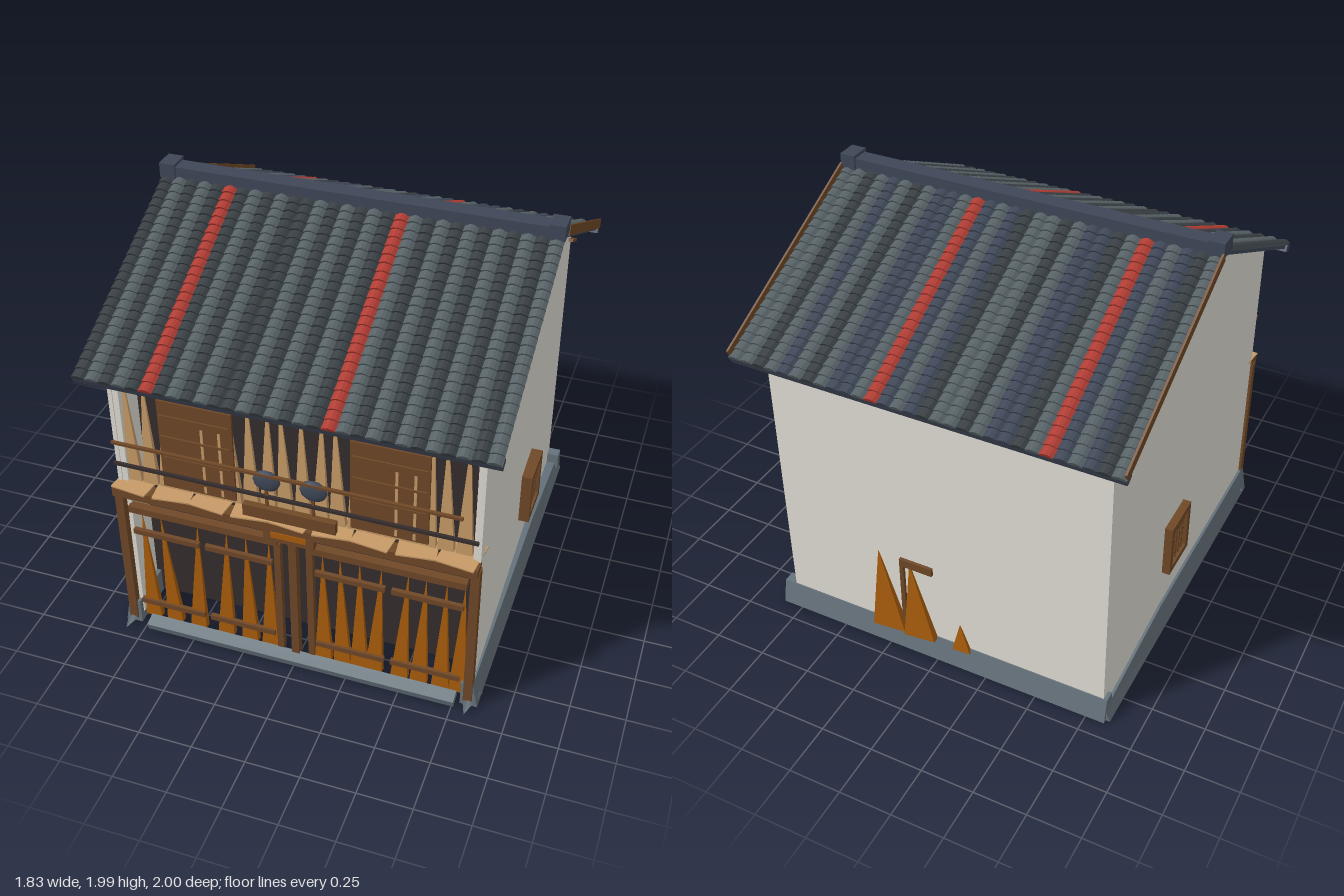
import * as THREE from 'three';
import { mergeGeometries } from 'three/addons/utils/BufferGeometryUtils.js';

const mat = (name, color) => {
  const m = new THREE.MeshStandardMaterial({ color });
  m.name = name;
  return m;
};

export function createModel() {
  const M = {
    plaster: mat('plaster', 0xe0ddd4), wood: mat('wood', 0x6f4827),
    amber: mat('amber wood', 0xa85c0c), tan: mat('pale wood', 0xc79a68),
    dark: mat('dark interior', 0x352c2c), stone: mat('plinth stone', 0x65727b),
    ridge: mat('blue slate', 0x3f4757), slate: mat('dark slate', 0x383f43),
    grey: mat('grey slate', 0x576266), red: mat('red', 0xb03c33),
  };
  M.stone.side = THREE.DoubleSide;
  const root = new THREE.Group();
  root.name = 'townHouse';

  const add = (name, geo, m, parent = root) => {
    const mesh = new THREE.Mesh(geo, m);
    mesh.name = name;
    parent.add(mesh);
    return mesh;
  };
  const group = (name, parent = root) => {
    const g = new THREE.Group();
    g.name = name;
    parent.add(g);
    return g;
  };
  // Box given by its minimum and maximum corners
  const box = (name, m, x0, x1, y0, y1, z0, z1, parent) => {
    const b = add(name, new THREE.BoxGeometry(x1 - x0, y1 - y0, z1 - z0), m, parent);
    b.position.set((x0 + x1) / 2, (y0 + y1) / 2, (z0 + z1) / 2);
    return b;
  };
  // Tapered picket: a slim flat-sided pyramid leaning from its foot to its tip
  const spike = (name, m, foot, tip, y0, y1, z, w, parent) => {
    const geo = new THREE.ConeGeometry(w * 0.707, y1 - y0, 4).rotateY(Math.PI / 4).toNonIndexed();
    geo.scale(1, 1, 0.4);
    geo.computeVertexNormals();
    const s = add(name, geo, m, parent);
    s.position.set((foot + tip) / 2, (y0 + y1) / 2, z);
    s.rotation.z = -Math.atan2(tip - foot, y1 - y0);
  };

  // Side walls with gables, drawn in (z, y) and turned to face sideways
  const outline = [[0.87, 0.03], [0.87, 1.5], [0, 1.92], [-0.89, 1.48], [-0.89, 0.03]];
  const gable = new THREE.Shape(outline.map(([z, y]) => new THREE.Vector2(-z, y)));
  const wall = new THREE.ExtrudeGeometry(gable, { depth: 0.02, bevelEnabled: false });
  wall.rotateY(Math.PI / 2);
  add('rightWall', wall, M.plaster).position.x = -0.822;
  // The left wall draws in slightly towards the back
  const leftWall = add('leftWall', wall, M.plaster);
  leftWall.position.x = 0.79;
  leftWall.rotation.y = 0.021;
  box('backWall', M.plaster, -0.82, 0.79, 0.03, 1.5, -0.89, -0.87);
  box('cornerReturn', M.plaster, -0.81, -0.775, 0.05, 1.45, 0.83, 0.865);
  box('cornerReturn', M.plaster, 0.795, 0.81, 0.05, 1.45, 0.83, 0.865);
  box('innerFront', M.dark, -0.81, 0.8, 0.03, 1.6, 0.64, 0.66);
  // Floor with an opening near the back
  box('floor', M.dark, -0.81, 0.8, 0.015, 0.03, -0.56, 0.66);
  box('floorBack', M.dark, 0.28, 0.79, 0.015, 0.03, -0.88, -0.56);

  // Flared plinth: sides drop towards the back
  const plinth = group('plinth');
  const flare = (z0, z1, h0, h1) => {
    const p = [];
    for (const [z, h] of [[z0, h0], [z1, h1]]) p.push([0.78, 0, z], [0.86, 0, z], [0.835, h, z], [0.78, h, z]);
    const geo = new THREE.BufferGeometry();
    geo.setAttribute('position', new THREE.Float32BufferAttribute(p.flat(), 3));
    const idx = [0, 3, 2, 0, 2, 1, 4, 5, 6, 4, 6, 7];
    for (let i = 0; i < 4; i++) {
      const j = (i + 1) % 4;
      idx.push(i, j, 4 + j, i, 4 + j, 4 + i);
    }
    geo.setIndex(idx);
    const flat = geo.toNonIndexed();
    flat.computeVertexNormals();
    return flat;
  };
  const sidePlinth = mergeGeometries([flare(0.89, -0.27, 0.13, 0.13), flare(-0.27, -0.9, 0.13, 0.06)]);
  add('leftPlinth', sidePlinth, M.stone, plinth);
  add('rightPlinth', sidePlinth, M.stone, plinth).scale.x = -1;
  const back = add('backPlinth', flare(0.85, -0.84, 0.12, 0.12), M.stone, plinth);
  back.rotation.y = Math.PI / 2;
  back.position.z = -0.06;
  const sill = box('frontSill', M.stone, -0.73, 0.76, 0.01, 0.05, 0.87, 0.93, plinth);
  sill.rotation.x = 0.3;
  for (const s of [-1, 1]) {
    const foot = add('cornerFoot', new THREE.ConeGeometry(0.05, 0.15, 4), M.stone, plinth);
    foot.rotation.x = Math.PI / 2;
    foot.scale.z = 0.5;
    foot.position.set(s * 0.82, 0.03, 0.9);
  }

  // Roof: one slope built in its own plane, used twice
  const COLS = 30, ROWS = 24, W = 1.82 / COLS, LEN = 1.096, ANGLE = Math.atan(0.485);
  const tileColumn = (cx) => {
    const p = [], N = 4, step = (LEN - 0.03) / ROWS;
    for (let r = 0; r < ROWS; r++) {
      const s0 = 0.03 + r * step, s1 = s0 + step;
      const pt = (i, low) => [cx + (i / N - 0.5) * W,
        0.015 * Math.sin(Math.PI * i / N) + (low ? 0.012 : 0.002), low ? s1 : s0];
      for (let i = 0; i < N; i++) {
        const a = pt(i, 0), b = pt(i, 1), c = pt(i + 1, 1), d = pt(i + 1, 0);
        const e = [b[0], 0, s1], f = [c[0], 0, s1];
        p.push(...a, ...b, ...c, ...a, ...c, ...d, ...e, ...f, ...c, ...e, ...c, ...b);
      }
    }
    const geo = new THREE.BufferGeometry();
    geo.setAttribute('position', new THREE.Float32BufferAttribute(p, 3));
    geo.computeVertexNormals();
    return geo;
  };
  const roof = group('roof');
  // Column colours from the model's right to its left
  const patterns = {
    front: 'sgsgsrsgsgssgsgsgsrgsgsgsgsgsg',
    back: 'gsbgbrgsbbgsggsbgbrgbbgsgbgsgg',
  };
  const codes = { s: M.slate, g: M.grey, b: M.ridge, r: M.red };
  for (const side of ['front', 'back']) {
    const turn = group(side + 'Slope', roof);
    if (side === 'back') turn.rotation.y = Math.PI;
    const slope = group(side + 'Tiles', turn);
    slope.position.y = 1.93;
    slope.rotation.x = ANGLE;
    const sign = side === 'back' ? -1 : 1;
    for (const k of 'sgbr') {
      const geos = [];
      for (let i = 0; i < COLS; i++)
        if (patterns[side][i] === k) geos.push(tileColumn(sign * (-0.91 + W * (i + 0.5))));
      if (geos.length) add('tileColumns', mergeGeometries(geos), codes[k], slope);
    }
    box('roofDeck', M.ridge, -0.9, 0.9, -0.016, 0, 0, LEN - 0.01, slope);
    box('eaveBoard', M.ridge, -0.91, 0.91, -0.03, 0.003, LEN - 0.045, LEN, slope);
    // Rafter tails under the eaves, broader at the back
    const half = side === 'back' ? 0.045 : 0.015;
    for (let i = 0; i < 12; i++) {
      const x = -0.77 + i * 0.14;
      box('rafterTail', side === 'back' ? M.wood : M.tan, x - half, x + half, -0.085, -0.07, 0.94, 1.065, slope);
    }
    if (side === 'back')
      for (const s of [-1, 1])
        box('vergeBoard', M.wood, s * 0.909 - 0.005, s * 0.909 + 0.005, -0.005, 0.04, 0.04, LEN - 0.01, slope);
  }
  box('ridgeBeam', M.ridge, -0.9, 0.9, 1.92, 1.975, -0.04, 0.04, roof);
  for (const s of [-1, 1]) {
    box('ridgeCap', M.ridge, s * 0.876 - 0.036, s * 0.876 + 0.036, 1.92, 1.99, -0.05, 0.05, roof);
    // Hanging gable ornament made of stacked beads
    const drop = group('gableOrnament', roof);
    for (let i = 0; i < 5; i++) {
      const bead = add('bead', new THREE.SphereGeometry(0.023 - i * 0.002, 8, 6), M.red, drop);
      bead.position.set(s * 0.86, 1.91 - i * 0.024, 0);
      bead.scale.y = 0.7;
    }
  }

  // Barred side windows
  for (const s of [-1, 1]) {
    const win = group('sideWindow');
    win.position.set(s * 0.84, 0.465, -0.135);
    win.scale.x = s;
    for (const e of [-1, 1]) {
      box('windowJamb', M.wood, -0.045, 0.02, -0.135, 0.135, e * 0.098 - 0.016, e * 0.098 + 0.016, win);
      box('windowRail', M.wood, -0.045, 0.02, e * 0.12 - 0.015, e * 0.12 + 0.015, -0.09, 0.09, win);
    }
    for (let i = 0; i < 4; i++) {
      const z = -0.054 + i * 0.036;
      box('windowBar', M.wood, -0.006, 0.008, -0.11, 0.11, z - 0.006, z + 0.006, win);
    }
    for (const y of [-0.07, 0, 0.06]) box('windowCrossBar', M.wood, -0.006, 0.006, y - 0.006, y + 0.006, -0.09, 0.09, win);
  }

  // Ground floor shopfront
  const shop = group('shopFront');
  for (const s of [-1, 1]) {
    box('cornerPost', M.wood, s * 0.815 - 0.02, s * 0.815 + 0.02, 0.03, 0.81, 0.86, 0.9, shop);
    box('frameTop', M.wood, s * 0.425 - 0.355, s * 0.425 + 0.355, 0.685, 0.72, 0.85, 0.89, shop);
    box('frameJamb', M.wood, s * 0.075 - 0.015, s * 0.075 + 0.015, 0.05, 0.69, 0.85, 0.88, shop);
    for (const c of [0.26, 0.61]) for (const y of [0.14, 0.57])
      box('latticeRail', M.wood, s * c - 0.16, s * c + 0.16, y - 0.013, y + 0.013, 0.865, 0.885, shop);
  }
  box('middlePost', M.wood, -0.018, 0.018, 0.04, 0.8, 0.85, 0.89, shop);
  box('lintel', M.wood, -0.83, 0.83, 0.795, 0.84, 0.86, 0.925, shop);
  const tips = [[-0.73, -0.72], [-0.64, -0.61], [-0.46, -0.49], [-0.32, -0.35], [-0.23, -0.23], [-0.12, -0.13],
    [0.13, 0.13], [0.21, 0.22], [0.3, 0.3], [0.4, 0.37], [0.52, 0.49], [0.6, 0.58], [0.69, 0.68], [0.77, 0.76]];
  for (const [tip, foot] of tips) spike('latticePicket', M.amber, foot, tip, 0.05, 0.68, 0.86, 0.08, shop);
  box('signBoard', M.wood, -0.21, 0.21, 0.85, 0.91, 0.885, 0.915, shop);
  box('signBox', M.wood, -0.115, 0.115, 0.745, 0.83, 0.89, 0.925, shop);
  box('signPanel', M.amber, -0.08, 0.08, 0.77, 0.8, 0.925, 0.929, shop);
  for (let i = 0; i < 9; i++) {
    const x = -0.74 + i * 0.185;
    const plank = box('awningPlank', M.tan, x - 0.085, x + 0.085, 0.84, 0.847, 0.76, 0.93, shop);
    plank.rotation.y = i % 2 ? 0.12 : -0.12;
  }

  // Upper floor balcony
  const upper = group('upperFront');
  for (let i = 0; i < 20; i++) {
    const x = -0.75 + i * 0.079;
    spike('upperPicket', M.tan, x, x + (i % 3 - 1) * 0.012, 0.85, 1.44, 0.84, 0.072, upper);
  }
  box('lowerRail', M.dark, -0.82, 0.82, 0.954, 0.967, 0.885, 0.9, upper);
  box('upperRail', M.wood, -0.82, 0.75, 1.068, 1.08, 0.885, 0.9, upper);
  for (const s of [-1, 1]) {
    const shutter = group('shutter', upper);
    shutter.position.set(s * 0.43, 1.1, 0.862);
    box('shutterPanel', M.wood, -0.17, 0.17, -0.23, 0.23, -0.008, 0.004, shutter);
    for (let i = 0; i < 4; i++)
      box('shutterSlat', M.wood, -0.16, 0.16, -0.18 + i * 0.11, -0.17 + i * 0.11, 0, 0.012, shutter);
    for (const x of [0.03, 0.11]) box('shutterSliver', M.tan, x - 0.006, x + 0.006, -0.22, 0.12, 0, 0.007, shutter);
    // Hanging lanterns on short stems
    const lamp = new THREE.IcosahedronGeometry(0.055, 1);
    lamp.scale(1.15, 1, 0.35);
    add('lantern', lamp, M.ridge, upper).position.set(s * 0.105, 1.04, 0.885);
    box('lanternStem', M.wood, s * 0.105 - 0.006, s * 0.105 + 0.006, 0.9, 1.0, 0.885, 0.895, upper);
  }

  // Pickets against the back wall
  const fence = group('backFence');
  spike('backPicket', M.amber, 0.25, 0.3, 0.1, 0.54, -0.893, 0.17, fence);
  spike('backPicket', M.amber, 0.09, 0.14, 0.1, 0.52, -0.893, 0.16, fence);
  spike('backPicket', M.amber, -0.12, -0.11, 0.1, 0.25, -0.893, 0.09, fence);
  box('backPost', M.wood, 0.165, 0.185, 0.1, 0.54, -0.905, -0.885, fence);
  box('backPostArm', M.wood, 0.02, 0.185, 0.5, 0.54, -0.905, -0.885, fence);
  return root;
}
